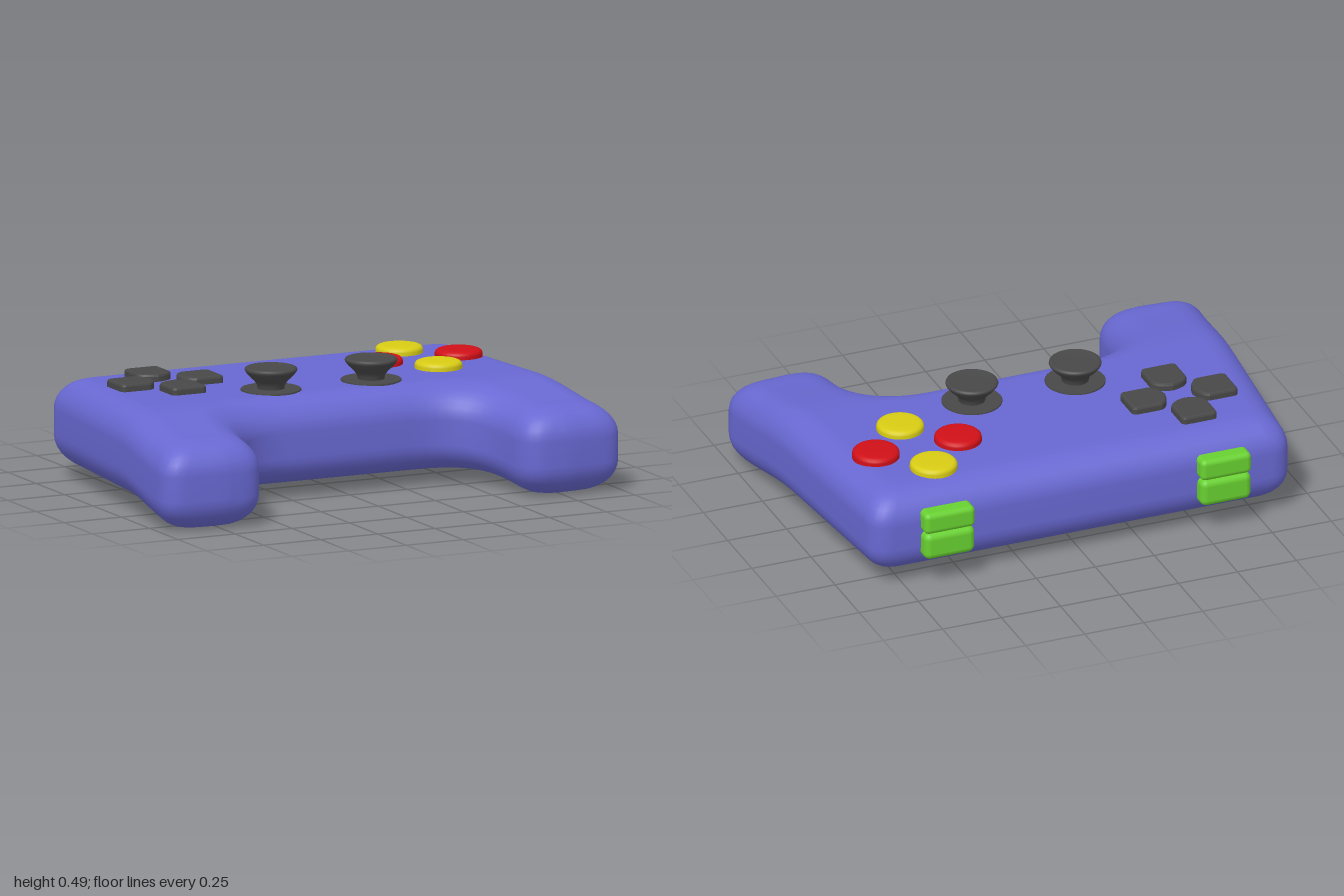
import * as THREE from 'three';
import { mergeVertices } from 'three/addons/utils/BufferGeometryUtils.js';
import { RoundedBoxGeometry } from 'three/addons/geometries/RoundedBoxGeometry.js';

const material = (color) => new THREE.MeshStandardMaterial({ color });
const V = (x, y) => new THREE.Vector2(x, y);

// Half plan of the shell as (x, z): back middle, round the grip, front middle
const CORNERS = [V(0, -0.63), V(0.885, -0.63), V(1.008, 0.66), V(0.75, 0.678),
  V(0.575, 0.665), V(0.535, 0.245), V(0, 0.245)];
const TRIM = [0, 0.09, 0.1, 0, 0.1, 0.25, 0];

// Moves the plan's corners inwards by d
function insetCorners(d) {
  const normals = CORNERS.slice(1).map((p, i) => {
    const e = p.clone().sub(CORNERS[i]).normalize();
    return V(-e.y, e.x);
  });
  return CORNERS.map((p, i) => {
    const a = normals[Math.max(i - 1, 0)];
    const b = normals[Math.min(i, normals.length - 1)];
    return p.clone().addScaledVector(a.clone().add(b), d / (1 + a.dot(b)));
  });
}

// Points along corners a-b-c-d with b and c rounded; counts per piece
function roundedPath(p, trims, counts) {
  const toward = (a, b, d) => a.clone().add(b.clone().sub(a).setLength(d));
  const [b0, b1] = [toward(p[1], p[0], trims[0]), toward(p[1], p[2], trims[0])];
  const [c0, c1] = [toward(p[2], p[1], trims[1]), toward(p[2], p[3], trims[1])];
  const pieces = [
    new THREE.LineCurve(p[0], b0),
    new THREE.QuadraticBezierCurve(b0, p[1], b1),
    new THREE.LineCurve(b1, c0),
    new THREE.QuadraticBezierCurve(c0, p[2], c1),
    new THREE.LineCurve(c1, p[3]),
  ];
  const out = [p[0]];
  pieces.forEach((c, i) => out.push(...c.getPoints(counts[i]).slice(1)));
  return out;
}

// Shell: closed cross-sections swept from one grip tip to the other
function shellGeometry() {
  const layers = [];
  const ROUND = 0.13, STEPS = 8, ACROSS = 14;
  for (const side of [-1, 1]) {
    for (let k = 0; k <= STEPS; k++) {
      const a = (side < 0 ? k / STEPS - 1 : k / STEPS) * Math.PI / 2;
      const d = ROUND * (1 - Math.cos(a));
      const c = insetCorners(d);
      const t = TRIM.map((r, i) => (i === 5 ? r + d * 0.4 : r - d * 0.3));
      layers.push({
        y: 0.225 + side * 0.05 + 0.125 * Math.sin(a),
        outer: roundedPath([c[0], c[1], c[2], c[3]], [t[1], t[2]], [4, 6, 16, 6, 3]),
        inner: roundedPath([c[6], c[5], c[4], c[3]], [t[5], t[4]], [10, 10, 6, 6, 3]),
      });
    }
  }
  const n = layers[0].outer.length - 1;
  const section = (i) => {
    const loop = [];
    const add = (p, y) => loop.push([p.x, y - 0.052 * THREE.MathUtils.smoothstep(p.y, 0.13, 0.6), p.y]);
    const span = (l, from, to) => {
      for (let k = 1; k < ACROSS; k++) add(from[i].clone().lerp(to[i], k / ACROSS), l.y);
    };
    const top = layers[layers.length - 1], bottom = layers[0];
    layers.forEach((l) => add(l.outer[i], l.y));
    span(top, top.outer, top.inner);
    [...layers].reverse().forEach((l) => add(l.inner[i], l.y));
    span(bottom, bottom.inner, bottom.outer);
    return loop;
  };
  const positions = [], index = [];
  let size = 0;
  for (let i = -n; i <= n; i++) {
    const loop = section(Math.abs(i));
    size = loop.length;
    loop.forEach(([x, y, z]) => positions.push(i < 0 ? -x : x, y, z));
  }
  for (let i = 0; i < 2 * n; i++) {
    for (let j = 0; j < size; j++) {
      const a = i * size + j, b = i * size + (j + 1) % size;
      index.push(a, b, a + size, b, b + size, a + size);
    }
  }
  const g = new THREE.BufferGeometry();
  g.setAttribute('position', new THREE.Float32BufferAttribute(positions, 3));
  g.setIndex(index);
  const merged = mergeVertices(g, 1e-5);
  merged.computeVertexNormals();
  return merged;
}

// One direction key, flat, with its point towards the local origin
function keyGeometry() {
  const b = 0.01, w = 0.075 - b, far = 0.224 - b;
  const s = new THREE.Shape();
  s.moveTo(-w + 0.012, far);
  s.quadraticCurveTo(-w, far, -w, far - 0.012);
  s.lineTo(-w, 0.105);
  s.quadraticCurveTo(-w + 0.012, 0.077, 0, 0.067);
  s.quadraticCurveTo(w - 0.012, 0.077, w, 0.105);
  s.lineTo(w, far - 0.012);
  s.quadraticCurveTo(w, far, w - 0.012, far);
  const g = new THREE.ExtrudeGeometry(s, {
    depth: 0.04, bevelSize: b, bevelThickness: b, bevelSegments: 2, curveSegments: 6,
  });
  return g.rotateX(-Math.PI / 2);
}

const lathe = (points) => new THREE.LatheGeometry(points.map(([r, y]) => V(r, y)), 40);

export function createModel() {
  const model = new THREE.Group();
  const dark = material(0x484848);
  const add = (name, geometry, mat, x = 0, y = 0, z = 0, parent = model) => {
    const mesh = new THREE.Mesh(geometry, mat);
    mesh.name = name;
    mesh.position.set(x, y, z);
    parent.add(mesh);
    return mesh;
  };

  add('shell', shellGeometry(), material(0x6868d2));

  // Four direction keys
  const pad = new THREE.Group();
  pad.name = 'directionPad';
  pad.position.set(-0.555, 0.38, -0.26);
  const key = keyGeometry();
  for (let i = 0; i < 4; i++) add('directionKey', key, dark, 0, 0, 0, pad).rotation.y = i * Math.PI / 2;
  model.add(pad);

  // Four round buttons
  const button = lathe([[0.094, -0.03], [0.094, 0.012], [0.092, 0.02], [0.086, 0.026],
    [0.076, 0.03], [0.04, 0.031], [0, 0.031]]);
  const red = material(0xd01018), yellow = material(0xd8cc14);
  for (const s of [-1, 1]) {
    add('redButton', button, red, 0.555 + s * 0.174, 0.4, -0.26);
    add('yellowButton', button, yellow, 0.555, 0.4, -0.26 + s * 0.173);
  }

  // Two thumbsticks on thin discs
  const disc = lathe([[0.12, -0.03], [0.12, 0.003], [0.117, 0.006], [0, 0.006]]);
  const stick = lathe([[0.052, 0], [0.055, 0.02], [0.066, 0.037], [0.088, 0.058], [0.101, 0.074],
    [0.104, 0.081], [0.102, 0.087], [0.095, 0.091], [0.086, 0.091], [0.08, 0.087], [0, 0.087]]);
  for (const x of [-0.23, 0.208]) {
    add('stickBase', disc, dark, x, 0.4, 0.018);
    add('thumbstick', stick, dark, x, 0.4, 0.018);
  }

  // Upper and lower shoulder buttons on the back
  const green = material(0x68d030);
  const upper = new RoundedBoxGeometry(0.214, 0.09, 0.1, 4, 0.022);
  const lower = new RoundedBoxGeometry(0.214, 0.115, 0.1, 4, 0.028);
  for (const x of [-0.588, 0.583]) {
    add('upperShoulderButton', upper, green, x, 0.285, -0.63);
    add('lowerShoulderButton', lower, green, x, 0.183, -0.63);
  }
  return model;
}
